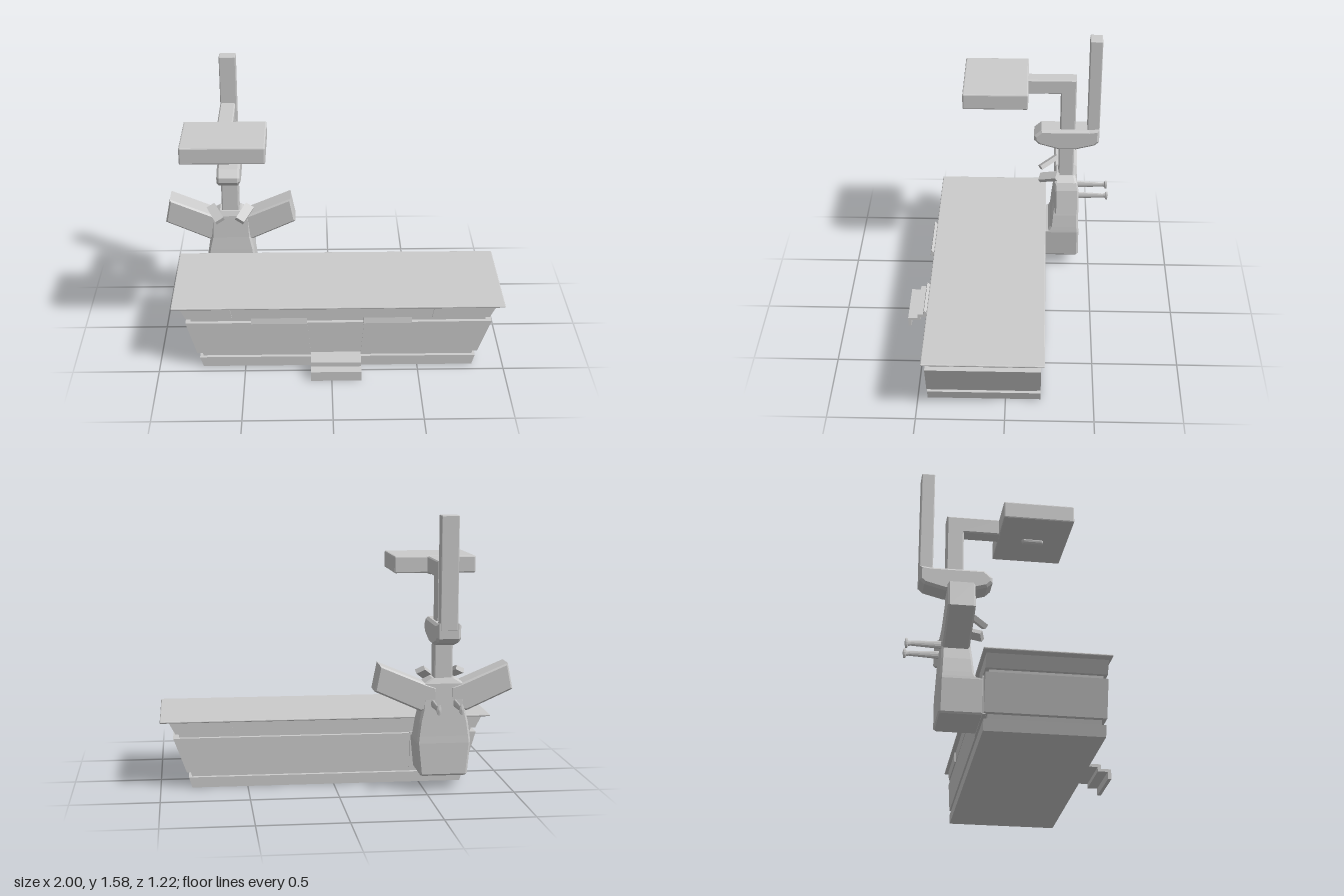
import * as THREE from 'three';
import { RoundedBoxGeometry } from 'three/addons/geometries/RoundedBoxGeometry.js';

const mat = new THREE.MeshStandardMaterial({ color: 0xcccccc, flatShading: true });
const CX = -0.605; // x of the pillar axis

export function createModel() {
  const root = new THREE.Group();

  const add = (name, geometry, parent = root) => {
    const mesh = new THREE.Mesh(geometry, mat);
    mesh.name = name;
    parent.add(mesh);
    return mesh;
  };

  // Box given by its limits, with softened edges when r > 0
  const box = (name, x0, x1, y0, y1, z0, z1, parent = root, r = 0) => {
    const s = [x1 - x0, y1 - y0, z1 - z0];
    const g = r ? new RoundedBoxGeometry(...s, 1, r) : new THREE.BoxGeometry(...s);
    const mesh = add(name, g, parent);
    mesh.position.set((x0 + x1) / 2, (y0 + y1) / 2, (z0 + z1) / 2);
    return mesh;
  };

  // Closed stack of rectangles [y, x0, x1, z0, z1], with cut corners when c > 0
  const loft = (name, sections, parent = root, c = 0) => {
    const rings = sections.map(([y, a, b, d, e]) => (c
      ? [[a, e - c], [a + c, e], [b - c, e], [b, e - c], [b, d + c], [b - c, d], [a + c, d], [a, d + c]]
      : [[a, e], [b, e], [b, d], [a, d]]).map(([x, z]) => [x, y, z]));
    const p = [];
    const n = rings[0].length;
    for (let i = 0; i + 1 < rings.length; i++) {
      for (let j = 0; j < n; j++) {
        const k = (j + 1) % n;
        const [A, B, C, D] = [rings[i][j], rings[i][k], rings[i + 1][k], rings[i + 1][j]];
        p.push(...A, ...B, ...C, ...A, ...C, ...D);
      }
    }
    const lo = rings[0], hi = rings[rings.length - 1];
    for (let j = 1; j + 1 < n; j++) p.push(...lo[0], ...lo[j + 1], ...lo[j], ...hi[0], ...hi[j], ...hi[j + 1]);
    const g = new THREE.BufferGeometry();
    g.setAttribute('position', new THREE.Float32BufferAttribute(p, 3));
    g.computeVertexNormals();
    return add(name, g, parent);
  };

  // Outline extruded symmetrically about its own plane
  const slab = (points, width, bevel = 0) => {
    const shape = new THREE.Shape(points.map(([x, y]) => new THREE.Vector2(x, y)));
    const depth = width - 2 * bevel;
    const g = new THREE.ExtrudeGeometry(shape, {
      depth, bevelEnabled: bevel > 0, bevelSize: bevel, bevelThickness: bevel,
      bevelOffset: -bevel, bevelSegments: 1,
    });
    return g.translate(0, 0, -depth / 2);
  };
  // Side outline [z, y] with its width along x
  const side = (points, width, bevel) => slab(points, width, bevel).rotateY(-Math.PI / 2);

  // Table: flared body with two grooves, and a thin top
  const table = new THREE.Group();
  table.name = 'table';
  root.add(table);
  loft('tableBody', [
    [0, -0.745, 0.82, -0.2, 0.445],
    [0.06, -0.765, 0.838, -0.2, 0.445],
    [0.061, -0.745, 0.82, -0.178, 0.425],
    [0.09, -0.755, 0.83, -0.178, 0.425],
    [0.091, -0.78, 0.85, -0.2, 0.447],
    [0.29, -0.84, 0.925, -0.2, 0.447],
    [0.291, -0.81, 0.89, -0.178, 0.425],
    [0.388, -0.83, 0.91, -0.178, 0.425],
  ], table);
  // Upper band: proud end blocks with a shallow recess between them
  loft('bandRight', [[0.315, -0.837, -0.57, -0.2, 0.445], [0.388, -0.875, -0.585, -0.2, 0.445]], table);
  loft('bandMiddle', [[0.315, -0.57, 0.58, -0.195, 0.438], [0.388, -0.585, 0.595, -0.195, 0.438]], table);
  loft('bandLeft', [[0.315, 0.58, 0.912, -0.2, 0.445], [0.388, 0.595, 0.952, -0.2, 0.445]], table);
  box('tableTop', -0.92, 1, 0.383, 0.395, -0.22, 0.46, table, 0.005);

  // Doors and their wedge handles, mirrored about x = 0.025
  for (const s of [-1, 1]) {
    const X = (v) => 0.025 + s * v;
    const span = (a, b) => [X(a), X(b)].sort((m, n) => m - n);
    loft('door', [[0.091, ...span(0.145, 0.44), 0.43, 0.452], [0.29, ...span(0.163, 0.475), 0.43, 0.452]], table);
    const handle = add('doorHandle',
      side([[0.45, 0.296], [0.49, 0.308], [0.483, 0.342], [0.45, 0.317]], s < 0 ? 0.32 : 0.275), table);
    handle.position.x = s < 0 ? -0.3 : 0.322;
  }

  // Two-level folding step
  const step = add('step', side([
    [0.42, 0.068], [0.535, 0.068], [0.535, 0.042], [0.592, 0.042], [0.592, 0], [0.612, 0],
    [0.612, 0.058], [0.553, 0.058], [0.553, 0.085], [0.42, 0.085],
  ], 0.29));
  step.position.x = 0.025;

  // Pillar, built around x = 0 and moved to its axis
  const pillar = new THREE.Group();
  pillar.name = 'pillar';
  pillar.position.x = CX;
  root.add(pillar);

  loft('pedestal', [
    [0.09, 0.13, -0.425, -0.175],
    [0.1, 0.137, -0.432, -0.175],
    [0.28, 0.155, -0.43, -0.175],
    [0.293, 0.154, -0.429, -0.235],
    [0.32, 0.151, -0.427, -0.248],
    [0.4, 0.14, -0.423, -0.255],
    [0.48, 0.122, -0.419, -0.263],
    [0.62, 0.115, -0.412, -0.272],
    [0.65, 0.065, -0.4, -0.285],
  ].map(([y, h, z0, z1]) => [y, -h, h, z0, z1]), pillar, 0.012);
  box('mountPlate', -0.16, 0.16, 0.085, 0.3, -0.205, -0.19, pillar);

  for (const s of [-1, 1]) {
    // Raised side arm
    const pts = [[0.04, 0.5], [0.13, 0.462], [0.397, 0.582], [0.367, 0.732], [0.1, 0.62], [0.04, 0.6]];
    const arm = add('sideArm', slab(pts.map(([x, y]) => [s * x, y]), 0.145, 0.01), pillar);
    arm.position.z = -0.344;

    // Small tilted control pad
    const pad = box('controlPad', -0.028, 0.028, -0.014, 0.014, -0.065, 0.065, pillar);
    pad.position.set(s * 0.088, 0.657, -0.235);
    pad.lookAt(CX + s * 0.05, 0.625, -0.165);
    pad.rotateZ(s * -0.5);

    // Flattened rear grip with a flared end
    const grip = add('rearGrip', new THREE.LatheGeometry([
      [0, 0], [0.024, 0], [0.015, 0.17], [0.018, 0.182], [0.03, 0.187], [0.03, 0.197], [0, 0.202],
    ].map(([r, y]) => new THREE.Vector2(r, y)), 12).rotateX(-Math.PI / 2), pillar);
    grip.scale.x = 0.45;
    grip.position.set(s * 0.064, 0.507, -0.41);
  }

  // Neck and the pod on top of it
  box('neck', -0.053, 0.053, 0.6, 0.86, -0.39, -0.295, pillar, 0.008);
  add('pod', side([
    [-0.14, 0.905], [-0.17, 0.875], [-0.29, 0.84], [-0.4, 0.84], [-0.515, 0.87], [-0.542, 0.895],
    [-0.542, 0.982], [-0.48, 0.975], [-0.185, 0.975], [-0.14, 0.935],
  ], 0.138, 0.014), pillar);

  // Tall rear mast
  box('mast', -0.05, 0.05, 0.94, 1.578, -0.543, -0.468, pillar, 0.005);

  // Cranked boom carrying the overhead panel
  add('boom', side([
    [-0.3, 0.95], [-0.3, 1.22], [-0.09, 1.22], [-0.09, 1.315], [-0.395, 1.315], [-0.395, 0.95],
  ], 0.09, 0.007), pillar);
  box('overheadPanel', -0.24, 0.24, 1.217, 1.317, -0.103, 0.288, pillar, 0.008);

  // Rounded sensor bar under the panel
  const sensor = add('sensor', new THREE.CapsuleGeometry(0.02, 0.085, 4, 12).rotateX(Math.PI / 2), pillar);
  sensor.position.set(0, 1.213, 0.092);

  return root;
}
